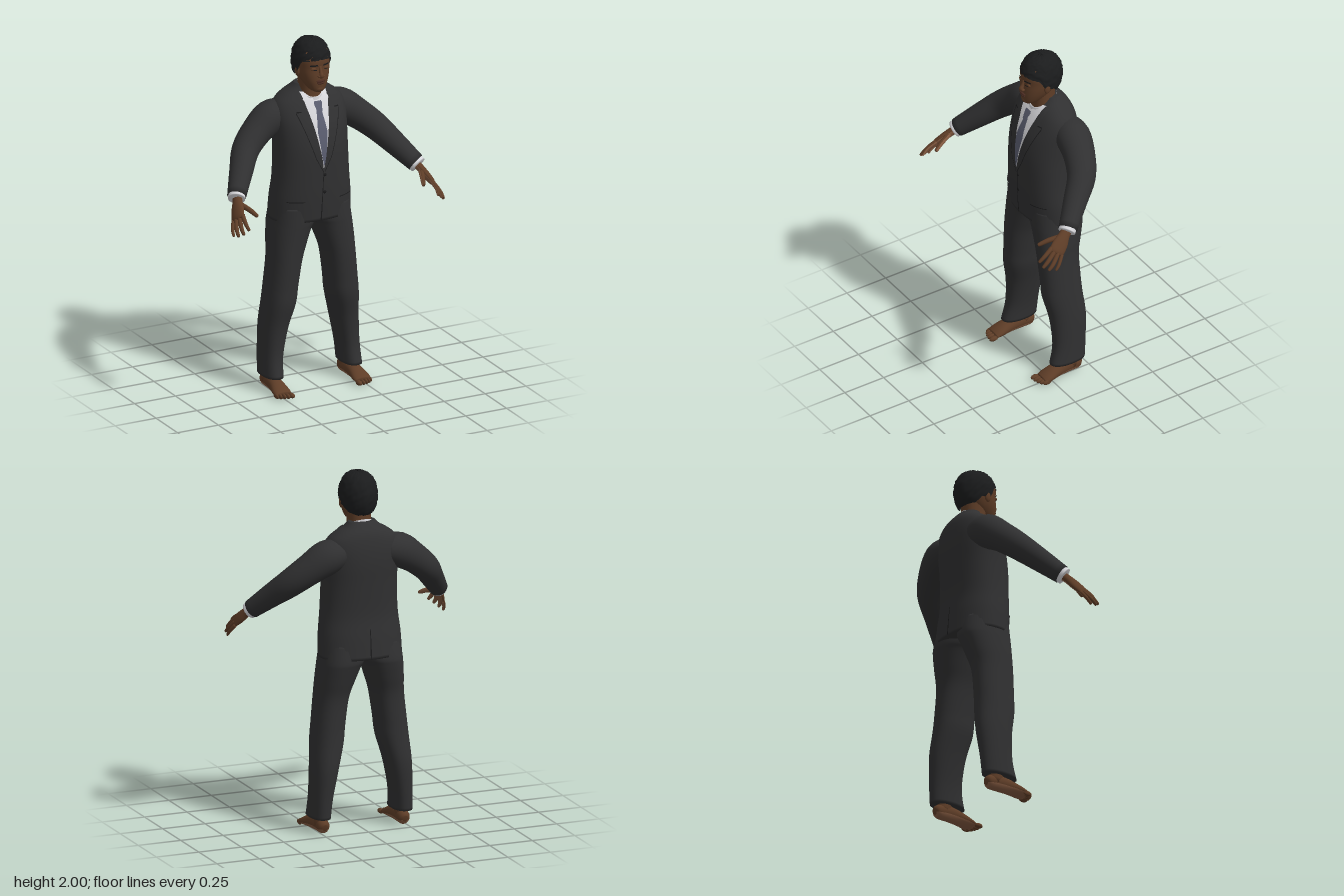
import * as THREE from 'three';

const mat = (name, color) => {
  const m = new THREE.MeshStandardMaterial({ color, side: THREE.DoubleSide });
  m.name = name;
  return m;
};
const M = {
  suit: mat('charcoal suit', 0x303031), seam: mat('dark seam', 0x1b1b1c),
  hair: mat('black hair', 0x1b1c1d), skin: mat('brown skin', 0x5e3d27),
  palm: mat('light skin', 0x81583f), lips: mat('lips', 0x4b2c22),
  shirt: mat('white shirt', 0xd6d6da), tie: mat('slate tie', 0x5b5e70),
};
const N = 32;
const V = (x, y, z) => new THREE.Vector3(x, y, z);

// Catmull-Rom resampling of a table of rows
function smooth(rows, k = 5) {
  const out = [], at = i => rows[Math.max(0, Math.min(rows.length - 1, i))];
  for (let i = 0; i < rows.length - 1; i++) for (let s = 0; s < k; s++) {
    const t = s / k;
    out.push(rows[i].map((b, c) => {
      const a = at(i - 1)[c], d = at(i + 1)[c], e = at(i + 2)[c];
      return b + 0.5 * t * (d - a + t * (2 * a - 5 * b + 4 * d - e + t * (3 * (b - d) + e - a)));
    }));
  }
  out.push(rows[rows.length - 1]);
  return out;
}

// Skin a stack of rings; an optional second material covers the side around angle 0
function skin(name, rings, material, { closed = true, caps = closed, second } = {}) {
  const n = rings[0].length, pos = [], main = [], other = [];
  rings.forEach(r => r.forEach(p => pos.push(p.x, p.y, p.z)));
  for (let j = 0; j < rings.length - 1; j++) for (let i = 0; i < (closed ? n : n - 1); i++) {
    const i2 = (i + 1) % n, a = j * n + i, b = j * n + i2;
    const light = second && Math.cos((i + 0.5) / n * Math.PI * 2) > 0.35;
    (light ? other : main).push(a, b, b + n, a, b + n, a + n);
  }
  if (caps) for (const end of [0, rings.length - 1]) {
    const c = rings[end].reduce((s, p) => s.add(p), V(0, 0, 0)).divideScalar(n);
    const ci = pos.length / 3;
    pos.push(c.x, c.y, c.z);
    for (let i = 0; i < n; i++) {
      const a = end * n + i, b = end * n + (i + 1) % n;
      end ? main.push(a, b, ci) : main.push(b, a, ci);
    }
  }
  const g = new THREE.BufferGeometry();
  g.setAttribute('position', new THREE.Float32BufferAttribute(pos, 3));
  g.setIndex(main.concat(other));
  if (second) { g.addGroup(0, main.length, 0); g.addGroup(main.length, other.length, 1); }
  g.computeVertexNormals();
  const mesh = new THREE.Mesh(g, second ? [material, second] : material);
  mesh.name = name;
  return mesh;
}

// Upright body: rows are [y, xMin, xMax, zFront, zBack], superellipse sections
const sp = (v, p) => Math.sign(v) * Math.abs(v) ** (2 / p);
const loft = (name, rows, material, p = 2.3) => skin(name, smooth(rows).map(([y, x0, x1, zf, zb]) =>
  Array.from({ length: N }, (_, i) => {
    const a = i / N * Math.PI * 2;
    return V((x0 + x1) / 2 + (x1 - x0) / 2 * sp(Math.sin(a), p), y, (zf + zb) / 2 + (zf - zb) / 2 * sp(Math.cos(a), p));
  })), material);

// Limb along a path: rows are [x, y, z, radius along side, radius across]
function tube(name, rows, side, material, opt = {}, n = 20) {
  const pts = smooth(rows, 4), c = pts.map(r => V(r[0], r[1], r[2]));
  return skin(name, pts.map((r, j) => {
    const d = c[Math.min(j + 1, c.length - 1)].clone().sub(c[Math.max(j - 1, 0)]).normalize();
    const w = V(...side).addScaledVector(d, -V(...side).dot(d)).normalize(), q = w.clone().cross(d);
    return Array.from({ length: n }, (_, i) => {
      const a = i / n * Math.PI * 2;
      return c[j].clone().addScaledVector(w, r[3] * Math.sin(a)).addScaledVector(q, r[4] * Math.cos(a));
    });
  }), material, opt);
}

// Height field of a lofted body, s = 1 front or -1 back
const surface = (table, p, s = 1) => {
  const rows = smooth(table);
  return (x, y) => {
    let i = 0;
    while (i < rows.length - 2 && rows[i + 1][0] < y) i++;
    const t = THREE.MathUtils.clamp((y - rows[i][0]) / (rows[i + 1][0] - rows[i][0]), 0, 1);
    const [, , rx, zf, zb] = rows[i].map((v, k) => v + (rows[i + 1][k] - v) * t);
    return (zf + zb) / 2 + s * (zf - zb) / 2 * (1 - Math.min(1, Math.abs(x) / rx) ** p) ** (1 / p);
  };
};

// Thin sheet following a surface: rows are [y, x0, x1] from the bottom up
function panel(name, surf, rows, off, material) {
  const fine = [];
  rows.forEach((r, i) => {
    const next = rows[i + 1];
    for (let s = 0; s < (next ? 6 : 1); s++) fine.push(r.map((v, k) => next ? v + (next[k] - v) * s / 6 : v));
  });
  return skin(name, fine.map(([y, x0, x1]) => Array.from({ length: 9 }, (_, i) => {
    const x = x0 + (x1 - x0) * i / 8;
    return V(x, y, surf(x, y) + off);
  })), material, { closed: false });
}

const sym = rows => rows.map(([y, rx, zf, zb]) => [y, -rx, rx, zf, zb]);
const torso = sym([
  [0.98, 0.235, 0.03, -0.285], [1.1, 0.23, 0.04, -0.275], [1.22, 0.217, 0.045, -0.262],
  [1.38, 0.21, 0.045, -0.268], [1.5, 0.213, 0.025, -0.275], [1.58, 0.215, -0.005, -0.272],
  [1.64, 0.195, -0.035, -0.262], [1.68, 0.15, -0.06, -0.248], [1.71, 0.1, -0.085, -0.225], [1.735, 0.075, -0.1, -0.2]]);
const headRows = sym([
  [1.715, 0.022, 0.002, -0.05], [1.73, 0.045, 0.012, -0.09], [1.77, 0.069, 0.016, -0.15],
  [1.81, 0.083, 0.014, -0.18], [1.85, 0.09, 0.01, -0.2], [1.9, 0.092, 0.01, -0.205],
  [1.95, 0.08, -0.01, -0.19], [1.985, 0.04, -0.06, -0.14]]);
const front = surface(torso, 2.3), back = surface(torso, 2.3, -1), face = surface(headRows, 2.3);

function ball(name, material, x, y, z, rx, ry, rz) {
  const m = new THREE.Mesh(new THREE.SphereGeometry(1, 16, 12), material);
  m.position.set(x, y, z);
  m.scale.set(rx, ry, rz);
  m.name = name;
  return m;
}

// Short cropped hair: cap with a hairline that drops from brow to nape
function makeHair() {
  let seed = 7;
  const rnd = () => (seed = seed * 16807 % 2147483647) / 2147483647 - 0.5;
  const line = [[-1, 1.772], [-0.5, 1.785], [-0.2, 1.82], [0.25, 1.83], [0.5, 1.89], [1, 1.905]];
  const rings = [], n = 56, m = 22;
  for (let j = 0; j <= m; j++) rings.push(Array.from({ length: n }, (_, i) => {
    const a = i / n * Math.PI * 2, c = Math.cos(a);
    let k = 0;
    while (k < 4 && line[k + 1][0] < c) k++;
    const yb = THREE.MathUtils.mapLinear(c, line[k][0], line[k + 1][0], line[k][1], line[k + 1][1]);
    const th = Math.acos((yb - 1.87) / 0.13) * (1 - j / m);
    const r = Math.sin(th) ** 0.75 * (1 + 0.06 * rnd());
    return V(0.104 * r * Math.sin(a), 1.868 + 0.13 * Math.cos(th) + 0.006 * rnd(), -0.1 + (c > 0 ? 0.118 : 0.128) * r * c);
  }));
  return skin('hair', rings, M.hair, { caps: false });
}

// Everything that exists once per side, built on +x
function makeSide(name) {
  const g = new THREE.Group();
  g.name = name;
  g.add(loft('trouserLeg', [
    [0.085, 0.185, 0.295, -0.01, -0.222], [0.2, 0.175, 0.292, -0.035, -0.23], [0.36, 0.143, 0.287, -0.028, -0.24],
    [0.5, 0.107, 0.277, 0, -0.23], [0.6, 0.095, 0.267, 0.005, -0.225], [0.75, 0.072, 0.252, 0.012, -0.225],
    [0.85, 0.04, 0.245, 0.015, -0.248], [0.93, 0.01, 0.237, 0.018, -0.268], [0.97, -0.012, 0.232, 0.02, -0.273],
    [1.06, -0.04, 0.22, 0.02, -0.26]], M.suit));
  g.add(tube('sleeve', [
    [0.12, 1.57, -0.17, 0.08, 0.075], [0.21, 1.55, -0.17, 0.098, 0.095], [0.305, 1.49, -0.152, 0.09, 0.083],
    [0.395, 1.415, -0.108, 0.08, 0.075], [0.465, 1.335, -0.025, 0.067, 0.065], [0.548, 1.235, 0.078, 0.052, 0.052]],
    [0, 0.3, 1], M.suit, {}, 28));
  g.add(tube('shirtCuff', [[0.54, 1.245, 0.068, 0.047, 0.047], [0.556, 1.223, 0.092, 0.047, 0.047]], [0, 0.3, 1], M.shirt));
  // Hand: flat palm, four spread fingers and a thumb
  const across = [0.035, -0.045, -0.05], light = { second: M.palm };
  g.add(tube('palm', [
    [0.54, 1.24, 0.07, 0.03, 0.024], [0.56, 1.21, 0.11, 0.032, 0.022], [0.577, 1.18, 0.145, 0.043, 0.021],
    [0.592, 1.153, 0.177, 0.044, 0.017], [0.597, 1.143, 0.188, 0.038, 0.011]], across, M.skin, light));
  const fingers = [
    [[0.575, 1.17, 0.2], [0.584, 1.14, 0.25], [0.58, 1.112, 0.282]],
    [[0.588, 1.155, 0.19], [0.605, 1.118, 0.24], [0.608, 1.09, 0.275]],
    [[0.6, 1.143, 0.175], [0.622, 1.1, 0.22], [0.626, 1.073, 0.25]],
    [[0.61, 1.13, 0.158], [0.63, 1.09, 0.188], [0.635, 1.063, 0.21]],
    [[0.555, 1.205, 0.125], [0.53, 1.19, 0.19], [0.51, 1.168, 0.24]]];
  fingers.forEach(([a, b, c], i) => {
    const r = [0.0115, 0.012, 0.0115, 0.0095, 0.014][i], tip = c.map((v, k) => v + (c[k] - b[k]) * 0.12);
    g.add(tube(i < 4 ? 'finger' : 'thumb', [[...a, r * 1.1, r * 1.1], [...b, r, r], [...c, r * 0.75, r * 0.75],
      [...tip, r * 0.25, r * 0.25]], across, M.skin, light, 10));
  });
  // Bare foot with toes
  g.add(tube('ankle', [[0.237, 0.04, -0.145, 0.036, 0.045], [0.238, 0.16, -0.125, 0.036, 0.045]], [1, 0, 0], M.skin));
  g.add(tube('foot', [
    [0.236, 0.036, -0.202, 0.015, 0.018], [0.236, 0.04, -0.185, 0.033, 0.038], [0.237, 0.047, -0.12, 0.037, 0.046],
    [0.24, 0.041, -0.05, 0.041, 0.04], [0.243, 0.027, 0.015, 0.05, 0.026], [0.243, 0.018, 0.05, 0.046, 0.015]],
    [1, 0, 0], M.skin, light));
  for (let i = 0; i < 5; i++) {
    const r = i ? 0.0105 - i * 0.0006 : 0.015;
    g.add(ball('toe', M.skin, [0.206, 0.23, 0.25, 0.269, 0.285][i], 0.015, 0.068 - i * i * 0.0018, r, 0.014, 0.027));
  }
  // Lapel, its dark edge, and the pocket flap
  g.add(panel('lapel', front, [[1.27, 0, 0.004], [1.35, 0.01, 0.045], [1.5, 0.04, 0.095], [1.6, 0.06, 0.128],
    [1.62, 0.065, 0.105], [1.7, 0.078, 0.105]], 0.008, M.suit));
  g.add(panel('lapelEdge', front, [[1.27, 0.002, 0.006], [1.35, 0.044, 0.048], [1.5, 0.094, 0.098], [1.6, 0.126, 0.131]], 0.009, M.seam));
  g.add(panel('lapelNotch', front, [[1.604, 0.1, 0.13], [1.61, 0.1, 0.126]], 0.01, M.seam));
  g.add(panel('pocketFlap', front, [[1.06, 0.11, 0.2], [1.1, 0.105, 0.195]], 0.005, M.suit));
  g.add(panel('pocketSeam', front, [[1.1, 0.105, 0.195], [1.105, 0.105, 0.195]], 0.006, M.seam));
  // Shirt collar wing
  g.add(panel('collarWing', front, [[1.585, 0.042, 0.046], [1.64, 0.014, 0.066], [1.67, 0.02, 0.078]], 0.014, M.shirt));
  // Brow, eye, ear
  g.add(panel('eyebrow', face, [[1.869, 0.014, 0.058], [1.878, 0.018, 0.055]], 0.004, M.hair));
  g.add(ball('eyelid', M.skin, 0.036, 1.852, face(0.036, 1.852) - 0.003, 0.018, 0.01, 0.008));
  g.add(panel('eye', face, [[1.846, 0.024, 0.048], [1.85, 0.021, 0.051]], 0.006, M.seam));
  g.add(ball('ear', M.skin, 0.092, 1.83, -0.085, 0.011, 0.034, 0.02));
  g.add(ball('nostril', M.skin, 0.011, 1.812, 0.02, 0.01, 0.008, 0.011));
  return g;
}

export function createModel() {
  const model = new THREE.Group();
  model.name = 'suitedMan';
  const left = makeSide('leftSide'), right = makeSide('rightSide');
  right.scale.x = -1;
  model.add(left, right);

  // Jacket body, closure seam, back vent and buttons
  model.add(loft('jacket', torso, M.suit));
  model.add(panel('frontSeam', front, [[0.982, -0.012, -0.004], [1.1, -0.008, -0.003], [1.27, -0.002, 0.002]], 0.004, M.seam));
  model.add(panel('backVent', back, [[0.982, -0.004, 0.004], [1.15, -0.002, 0.002]], -0.004, M.seam));
  for (const y of [1.15, 1.25]) model.add(ball('button', M.seam, 0.008, y, front(0, y) + 0.004, 0.009, 0.009, 0.004));

  // Shirt front, tie and standing collar
  model.add(panel('shirtFront', front, [[1.29, -0.002, 0.002], [1.35, -0.012, 0.012], [1.5, -0.042, 0.042],
    [1.6, -0.062, 0.062], [1.7, -0.08, 0.08]], 0.004, M.shirt));
  model.add(panel('tieBlade', front, [[1.31, -0.003, 0.003], [1.37, -0.014, 0.014], [1.5, -0.029, 0.029], [1.61, -0.015, 0.015]], 0.011, M.tie));
  model.add(panel('tieKnot', front, [[1.6, -0.015, 0.015], [1.645, -0.025, 0.025], [1.655, -0.02, 0.02]], 0.019, M.tie));
  const collarRing = (lo, hi) => Array.from({ length: N }, (_, i) => {
    const a = i / N * Math.PI * 2, c = Math.cos(a);
    return V((0.08 - hi * 0.006) * Math.sin(a), 1.685 - 0.038 * c + lo, -0.115 + (0.08 - hi * 0.006) * c);
  });
  model.add(skin('shirtCollar', [collarRing(-0.03, 0), collarRing(0.024, 1)], M.shirt, { caps: false }));

  // Neck and head
  model.add(loft('neck', sym([[1.6, 0.068, -0.045, -0.185], [1.7, 0.064, -0.05, -0.18], [1.8, 0.064, -0.04, -0.18]]), M.skin));
  model.add(loft('head', headRows, M.skin));
  model.add(tube('nose', [[0, 1.865, 0.006, 0.008, 0.006], [0, 1.835, 0.016, 0.009, 0.01],
    [0, 1.815, 0.024, 0.013, 0.013], [0, 1.803, 0.018, 0.008, 0.007]], [1, 0, 0], M.skin));
  model.add(ball('upperLip', M.lips, 0, 1.783, 0.015, 0.027, 0.007, 0.01));
  model.add(ball('lowerLip', M.lips, 0, 1.771, 0.014, 0.023, 0.007, 0.01));
  model.add(ball('chin', M.skin, 0, 1.737, 0.002, 0.026, 0.018, 0.014));
  model.add(makeHair());
  return model;
}
